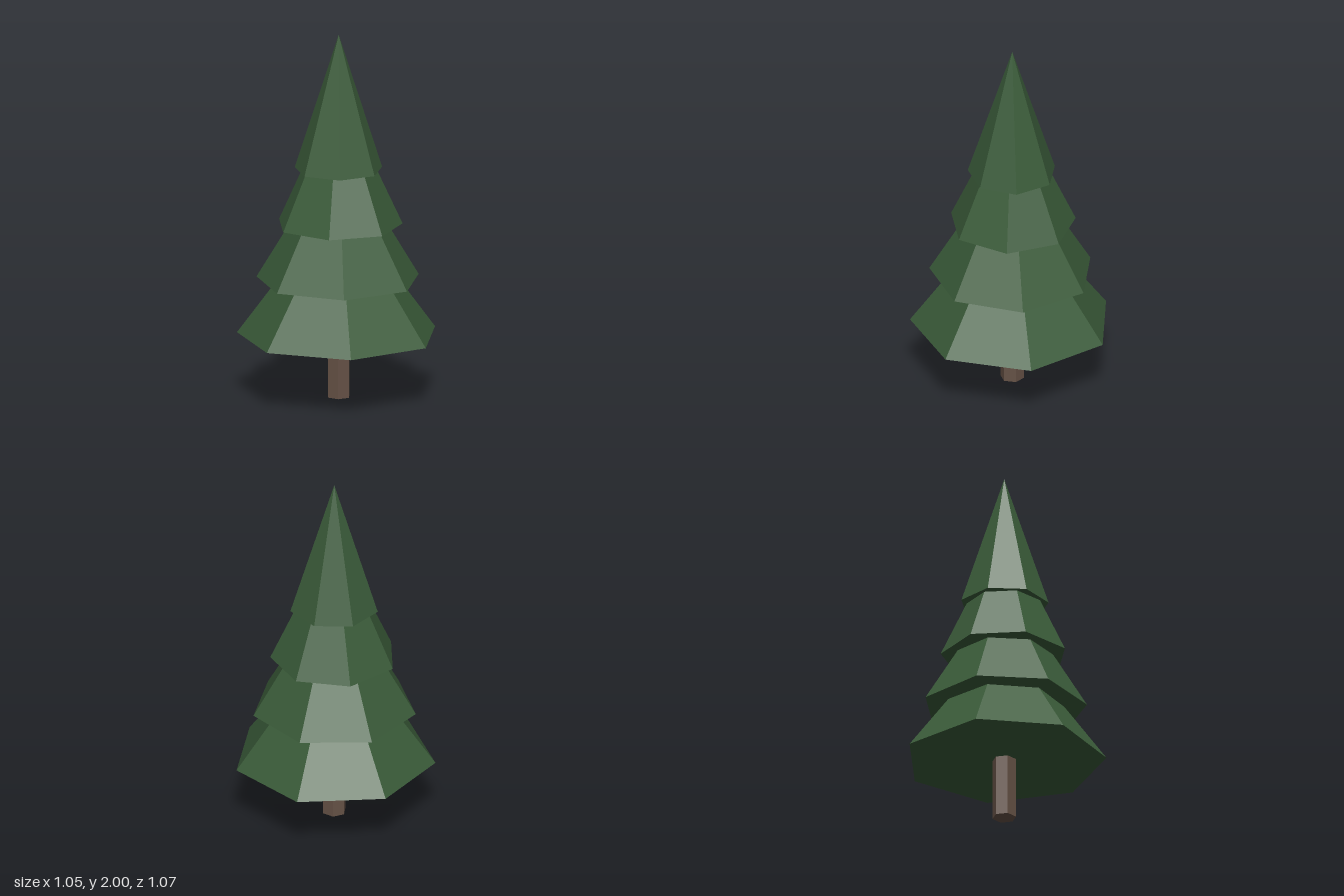
import * as THREE from 'three';

export function createModel() {
  const model = new THREE.Group();
  model.name = 'pineTree';

  const needleGreen = new THREE.MeshStandardMaterial({ color: 0x3a5b39 });
  needleGreen.name = 'needle green';
  const barkBrown = new THREE.MeshStandardMaterial({ color: 0x665246 });
  barkBrown.name = 'bark brown';

  // The trunk axis sits slightly off the centre of the uneven foliage outline
  const axisX = 0.018, axisZ = -0.008;

  function addPart(name, geometry, material, bottom, height, turn = 0) {
    // Unshared vertices give crisp low-poly facets
    const flat = geometry.toNonIndexed();
    flat.computeVertexNormals();
    const mesh = new THREE.Mesh(flat, material);
    mesh.name = name;
    mesh.position.set(axisX, bottom + height / 2, axisZ);
    mesh.rotation.y = turn;
    model.add(mesh);
  }

  // Six-sided trunk
  addPart('trunk', new THREE.CylinderGeometry(0.065, 0.065, 0.345, 6), barkBrown, 0, 0.345);

  // Four overlapping seven-sided cones: radius, bottom height, turn about the axis
  const coneHeight = 0.745;
  const tiers = [
    ['lowestBranches', 0.548, 0.34, 0.178],
    ['lowerBranches', 0.446, 0.645, 0.121],
    ['upperBranches', 0.343, 0.95, -0.093],
    ['topBranches', 0.24, 1.255, 0.085],
  ];
  for (const [name, radius, bottom, turn] of tiers) {
    addPart(name, new THREE.ConeGeometry(radius, coneHeight, 7), needleGreen, bottom, coneHeight, turn);
  }

  return model;
}
